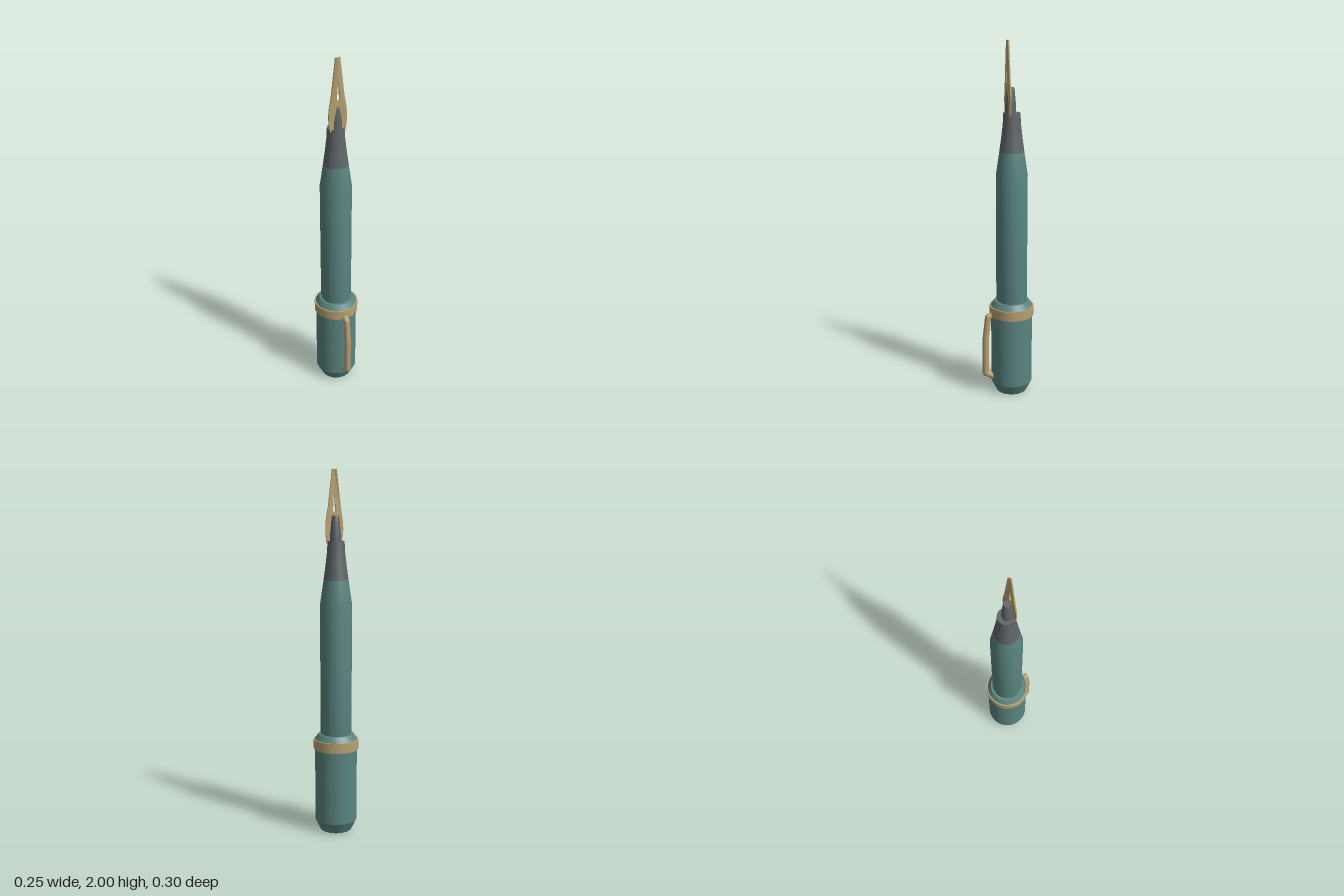
import * as THREE from 'three';
import { toCreasedNormals } from 'three/addons/utils/BufferGeometryUtils.js';

const green = new THREE.MeshStandardMaterial({ color: 0x5a8580 });
const brass = new THREE.MeshStandardMaterial({ color: 0xb8a070 });
const dark = new THREE.MeshStandardMaterial({ color: 0x5f6668 });
const AXIS_Z = -0.025; // the barrel axis sits behind the nib and clip

export function createModel() {
  const group = new THREE.Group();

  const add = (name, geometry, material, parent = group) => {
    const mesh = new THREE.Mesh(geometry, material);
    mesh.name = name;
    parent.add(mesh);
    return mesh;
  };

  // Turned part from [radius, height] pairs, bottom to top
  const turned = (name, profile, material, z = AXIS_Z) => {
    const points = profile.map(([r, y]) => new THREE.Vector2(r, y));
    const geometry = toCreasedNormals(new THREE.LatheGeometry(points, 40), 0.35);
    add(name, geometry, material).position.z = z;
  };

  // Cap pushed onto the tail of the barrel
  turned('cap', [[0, 0], [0.087, 0], [0.117, 0.06], [0.117, 0.525], [0.098, 0.555], [0, 0.555]], green);
  turned('capBand', [[0.11, 0.47], [0.125, 0.47], [0.125, 0.525], [0.11, 0.525]], brass);

  // Barrel, grip and feed
  turned('barrel', [[0, 0.54], [0.082, 0.54], [0.087, 0.575], [0.087, 1.28], [0.068, 1.41], [0, 1.41]], green);
  turned('grip', [[0, 1.4], [0.068, 1.41], [0.057, 1.49], [0.049, 1.56], [0.046, 1.62], [0, 1.62]], dark);
  turned('feed', [[0, 1.6], [0.03, 1.6], [0.029, 1.66], [0.021, 1.745], [0.018, 1.755], [0, 1.755]], dark, -0.018);

  // Nib: thin plate with a breather hole, creased along the middle
  const shape = new THREE.Shape();
  shape.moveTo(-0.044, 1.605);
  shape.lineTo(0.044, 1.605);
  shape.bezierCurveTo(0.058, 1.69, 0.052, 1.72, 0.037, 1.8);
  shape.lineTo(0.013, 2);
  shape.lineTo(0, 2);
  shape.lineTo(-0.013, 2);
  shape.lineTo(-0.037, 1.8);
  shape.bezierCurveTo(-0.052, 1.72, -0.058, 1.69, -0.044, 1.605);
  const hole = new THREE.Path();
  hole.moveTo(-0.007, 1.775);
  hole.lineTo(-0.005, 1.835);
  hole.lineTo(0, 1.88);
  hole.lineTo(0.005, 1.835);
  hole.lineTo(0.007, 1.775);
  shape.holes.push(hole);
  const nib = new THREE.ExtrudeGeometry(shape, { depth: 0.007, bevelEnabled: false, curveSegments: 12 });
  const p = nib.attributes.position;
  for (let i = 0; i < p.count; i++) {
    p.setZ(i, p.getZ(i) - 0.006 + 0.007 * Math.max(0, 1 - Math.abs(p.getX(i)) / 0.013));
  }
  nib.computeVertexNormals();
  add('nib', nib, brass);

  // Pocket clip: bent rod with rounded joints
  const clip = new THREE.Group();
  clip.name = 'clip';
  group.add(clip);
  const path = [[0.48, 0.08], [0.465, 0.115], [0.33, 0.131], [0.12, 0.132], [0.095, 0.09]]
    .map(([y, z]) => new THREE.Vector3(0, y, z));
  const up = new THREE.Vector3(0, 1, 0);
  path.forEach((a, i) => {
    add('clipJoint', new THREE.SphereGeometry(0.018, 16, 12), brass, clip).position.copy(a);
    if (i === path.length - 1) return;
    const d = path[i + 1].clone().sub(a);
    const rod = add('clipRod', new THREE.CylinderGeometry(0.018, 0.018, d.length(), 16), brass, clip);
    rod.position.copy(a).addScaledVector(d, 0.5);
    rod.quaternion.setFromUnitVectors(up, d.normalize());
  });

  return group;
}
